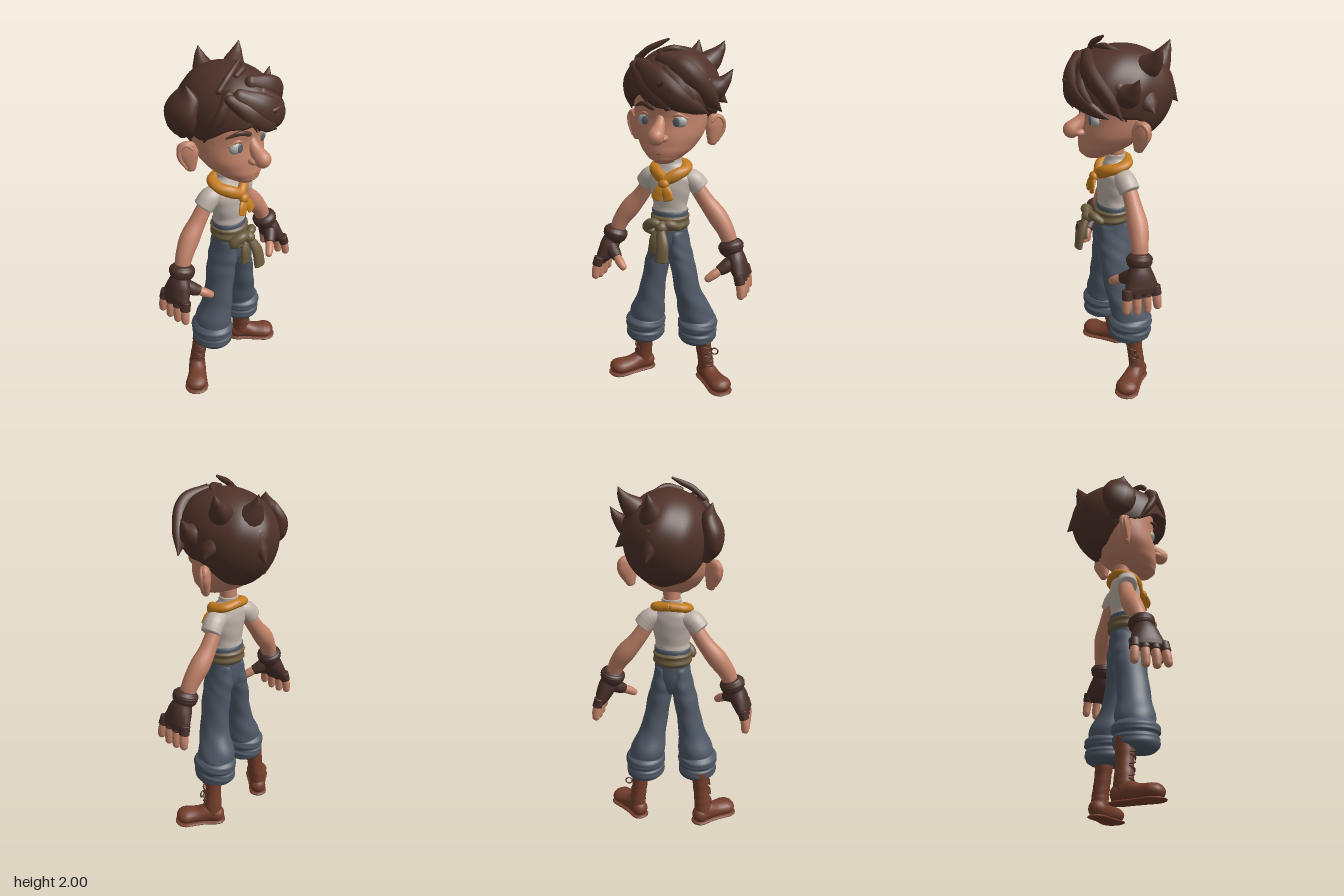
import * as THREE from 'three';
import { mergeVertices } from 'three/addons/utils/BufferGeometryUtils.js';

const colours = {
  skin: 0xc4846a, hair: 0x4f3229, shirt: 0xbfb3aa, scarf: 0xc47c1e, sash: 0x6e5d40,
  trousers: 0x4f5966, boot: 0x743e2b, glove: 0x482f29, eye: 0xa9aba8, iris: 0x596266,
};
const X = new THREE.Vector3(1, 0, 0), Y = new THREE.Vector3(0, 1, 0), Z = new THREE.Vector3(0, 0, 1);

// Smooth closed sweep through [x, y, z, a, b] sections: a is the radius along ref, b the other one
function sweep(pts, { ref = Z, tangent = null, cap = 1, steps = 7, sides = 20, ripple = 0 } = {}) {
  const path = new THREE.CatmullRomCurve3(pts.map(p => new THREE.Vector3(p[0], p[1], p[2])));
  const size = new THREE.CatmullRomCurve3(pts.map(p => new THREE.Vector3(p[3], p[4] ?? p[3], 0)), false, 'catmullrom', 0.4);
  const n = (pts.length - 1) * steps, rings = [];
  const addRing = (t, scale, push) => {
    const T = (tangent ?? path.getTangent(t)).clone();
    const s = size.getPoint(t), N = ref.clone().addScaledVector(T, -ref.dot(T)).normalize();
    const B = T.clone().cross(N), c = path.getPoint(t).addScaledVector(T, push * cap * s.x);
    rings.push({ c, N, B, a: s.x * scale, b: s.y * scale, t });
  };
  const arc = [0.05, 0.4, 0.75, 1.1].map(k => [Math.sin(k), Math.cos(k)]);
  for (const [r, h] of arc) addRing(0, r, -h);
  for (let i = 0; i <= n; i++) addRing(i / n, 1, 0);
  for (const [r, h] of arc.reverse()) addRing(1, r, h);
  const pos = [], idx = [];
  rings.forEach(({ c, N, B, a, b, t }, i) => {
    for (let j = 0; j < sides; j++) {
      const q = j / sides * Math.PI * 2;
      const f = 1 + ripple * Math.sin(t * 34 + 3 * Math.sin(q) + 2 * q);
      const p = c.clone().addScaledVector(N, Math.cos(q) * a * f).addScaledVector(B, Math.sin(q) * b * f);
      pos.push(p.x, p.y, p.z);
      if (i === rings.length - 1) continue;
      const k = (j + 1) % sides, A = i * sides, D = A + sides;
      idx.push(A + j, A + k, D + k, A + j, D + k, D + j);
    }
  });
  const last = (rings.length - 1) * sides;
  for (let j = 1; j < sides - 1; j++) idx.push(0, j + 1, j, last, last + j, last + j + 1);
  const g = new THREE.BufferGeometry();
  g.setAttribute('position', new THREE.Float32BufferAttribute(pos, 3));
  g.setIndex(idx);
  g.computeVertexNormals();
  return g;
}

// Hair cap: a sphere stretched over the skull down to a hairline that varies around the head
function hairCap() {
  const line = [152, 143, 110, 90, 78, 98, 110, 143, 152].map(d => d * Math.PI / 180);
  const g0 = new THREE.SphereGeometry(1, 64, 40);
  g0.deleteAttribute('uv'); g0.deleteAttribute('normal');
  const g = mergeVertices(g0, 1e-4), p = g.attributes.position;
  for (let i = 0; i < p.count; i++) {
    const phi = Math.atan2(p.getX(i), p.getZ(i)), t = Math.acos(THREE.MathUtils.clamp(p.getY(i), -1, 1)) / Math.PI;
    const f = (phi + Math.PI) / (Math.PI / 4), k = Math.min(7, Math.floor(f));
    const edge = THREE.MathUtils.lerp(line[k], line[k + 1], THREE.MathUtils.smoothstep(f - k, 0, 1));
    const th = Math.min(1, t / 0.85) * edge, inward = t > 0.85 ? (1 - t) / 0.15 : 1;
    const r = Math.sin(th) * inward * (1 + 0.015 * Math.sin(phi * 9 + th * 4) * Math.sin(th));
    const c = Math.cos(th);
    p.setXYZ(i, 0.022 + 0.232 * r * Math.sin(phi), 1.72 + (c > 0 ? 0.23 : 0.28) * c, 0.285 * r * Math.cos(phi));
  }
  g.computeVertexNormals();
  return g;
}

export function createModel() {
  const model = new THREE.Group();
  model.name = 'youngAdventurer';
  const mats = {};
  for (const [name, color] of Object.entries(colours)) {
    mats[name] = new THREE.MeshStandardMaterial({ color });
    mats[name].name = name;
  }
  const add = (name, mat, geo, parent = model) => {
    const m = new THREE.Mesh(geo, mats[mat]);
    m.name = name;
    parent.add(m);
    return m;
  };
  const ball = (name, mat, [x, y, z], [a, b, c], parent) => {
    const m = add(name, mat, new THREE.SphereGeometry(1, 24, 16), parent);
    m.position.set(x, y, z); m.scale.set(a, b, c);
    return m;
  };
  const upright = { ref: X, tangent: Y, cap: 0.3, sides: 32 };

  // Head and face
  add('head', 'skin', sweep([[0, 1.38, 0.125, 0.055, 0.065], [0, 1.4, 0.105, 0.092, 0.105], [0, 1.45, 0.062, 0.145, 0.152],
    [0, 1.52, 0.03, 0.183, 0.175], [0, 1.6, 0.01, 0.195, 0.18], [0, 1.7, 0, 0.197, 0.2], [0, 1.8, 0, 0.17, 0.18],
    [0, 1.86, 0, 0.1, 0.1]], upright));
  add('neck', 'skin', sweep([[0, 1.28, 0.01, 0.05], [0, 1.36, 0.01, 0.046], [0, 1.44, 0.02, 0.05]], upright));
  add('nose', 'skin', sweep([[0, 1.63, 0.162, 0.022, 0.022], [0, 1.575, 0.195, 0.03, 0.032], [0, 1.527, 0.252, 0.044, 0.045]], { ref: X }));
  add('mouth', 'boot', sweep([[-0.055, 1.442, 0.192, 0.003], [0, 1.429, 0.209, 0.005], [0.055, 1.442, 0.192, 0.003]]));
  for (const s of [-1, 1]) {
    ball('nostril', 'skin', [s * 0.031, 1.515, 0.215], [0.022, 0.019, 0.032]);
    ball('eye', 'eye', [s * 0.087, 1.593, 0.15], [0.044, 0.036, 0.031]);
    ball('iris', 'iris', [s * 0.083, 1.593, 0.177], [0.02, 0.023, 0.006]);
    add('eyelid', 'skin', sweep([[s * 0.04, 1.605, 0.174, 0.005], [s * 0.087, 1.631, 0.168, 0.01], [s * 0.133, 1.608, 0.138, 0.005]]));
    add('eyebrow', 'hair', sweep([[s * 0.035, 1.66, 0.195, 0.01, 0.012], [s * 0.09, 1.68, 0.183, 0.01, 0.013], [s * 0.145, 1.66, 0.143, 0.005]]));
    const ear = new THREE.Group();
    ear.name = 'ear';
    ear.position.set(s * 0.222, 1.52, -0.042);
    ear.rotation.set(0, s * 0.7, -s * 0.18);
    model.add(ear);
    add('earShell', 'skin', sweep([[0, -0.065, 0, 0.026, 0.02], [0, -0.03, 0, 0.04, 0.024], [0, 0.02, 0, 0.056, 0.027], [0, 0.06, 0, 0.048, 0.024]],
      { ref: X, cap: 0.6 }), ear);
    add('earRim', 'skin', sweep([[-s * 0.03, 0.045, 0.018, 0.007], [0, 0.075, 0.016, 0.01], [s * 0.036, 0.055, 0.016, 0.011],
      [s * 0.043, 0.01, 0.016, 0.011], [s * 0.022, -0.05, 0.014, 0.008]], { sides: 12 }), ear);
  }

  // Hair: cap, then tapered locks as [x, y, z, thickness, width]
  add('hairCap', 'hair', hairCap());
  const locks = {
    fringe: [[[-0.1, 1.87, 0.18, 0.03, 0.04], [0, 1.8, 0.25, 0.035, 0.07], [0.1, 1.73, 0.25, 0.035, 0.065], [0.19, 1.67, 0.18, 0.025, 0.035], [0.235, 1.64, 0.13, 0.004]],
      [[0, 1.9, 0.16, 0.03, 0.04], [0.12, 1.84, 0.19, 0.04, 0.07], [0.22, 1.73, 0.13, 0.035, 0.06], [0.29, 1.645, 0.08, 0.004]],
      [[0.03, 1.85, 0.2, 0.025, 0.04], [0.11, 1.76, 0.235, 0.03, 0.055], [0.17, 1.69, 0.2, 0.02, 0.035], [0.19, 1.64, 0.17, 0.004]],
      [[-0.14, 1.86, 0.16, 0.03], [-0.06, 1.785, 0.235, 0.03, 0.05], [0.02, 1.72, 0.265, 0.024, 0.045], [0.08, 1.67, 0.265, 0.004]],
      [[-0.13, 1.87, 0.14, 0.03], [-0.175, 1.79, 0.14, 0.025, 0.035], [-0.2, 1.71, 0.1, 0.02, 0.028], [-0.207, 1.63, 0.05, 0.004]],
      [[-0.11, 1.83, 0.2, 0.013], [-0.075, 1.745, 0.25, 0.01], [-0.04, 1.69, 0.245, 0.003]],
      [[0, 1.81, 0.24, 0.025], [0.03, 1.79, 0.28, 0.016], [0.06, 1.81, 0.305, 0.003]]],
    sideHair: [[[-0.215, 1.89, -0.05, 0.005], [-0.205, 1.83, -0.06, 0.075, 0.04], [-0.23, 1.75, -0.08, 0.1, 0.052], [-0.225, 1.68, -0.09, 0.085, 0.048], [-0.2, 1.63, -0.1, 0.03]],
      [[0.15, 1.73, 0.03, 0.07], [0.24, 1.75, 0.03, 0.062], [0.29, 1.79, 0.02, 0.032], [0.325, 1.845, 0.01, 0.003]],
      [[0.2, 1.78, 0.07, 0.04], [0.215, 1.7, 0.06, 0.035, 0.02], [0.205, 1.61, 0.03, 0.004]],
      [[0.19, 1.75, -0.06, 0.07, 0.05], [0.24, 1.69, -0.08, 0.045, 0.028], [0.275, 1.66, -0.09, 0.003]]],
    crownSpike: [[[0.12, 1.82, -0.07, 0.09, 0.08], [0.185, 1.88, -0.11, 0.055, 0.055], [0.225, 1.93, -0.125, 0.026], [0.243, 1.97, -0.13, 0.003]],
      [[0.06, 1.78, -0.15, 0.1], [0.06, 1.86, -0.205, 0.06], [0.065, 1.92, -0.237, 0.026], [0.07, 1.96, -0.25, 0.003]],
      [[-0.15, 1.89, 0.1, 0.016], [-0.09, 1.94, 0.1, 0.016], [-0.04, 1.965, 0.09, 0.014], [0.01, 1.99, 0.08, 0.006]],
      [[-0.03, 1.93, 0.1, 0.015], [0.04, 1.945, 0.08, 0.018], [0.09, 1.93, 0.03, 0.01]]],
    backHair: [[[0.05, 1.76, -0.22, 0.06], [0.06, 1.69, -0.265, 0.035], [0.07, 1.64, -0.305, 0.003]]],
  };
  for (const [name, list] of Object.entries(locks)) for (const l of list) add(name, 'hair', sweep(l, { sides: 14 }));

  // Shirt, neckerchief
  add('shirt', 'shirt', sweep([[0, 1.075, 0.03, 0.098, 0.083], [0, 1.12, 0.03, 0.095, 0.08], [0, 1.2, 0.027, 0.113, 0.085],
    [0, 1.265, 0.022, 0.12, 0.08], [0, 1.31, 0.015, 0.09, 0.064], [0, 1.345, 0.012, 0.058, 0.052], [0, 1.37, 0.01, 0.054, 0.05]], { ...upright, ripple: 0.01, cap: 0.02 }));
  for (const s of [-1, 1]) {
    add('sleeve', 'shirt', sweep([[s * 0.07, 1.265, 0.01, 0.05], [s * 0.12, 1.25, 0, 0.056], [s * 0.158, 1.208, -0.01, 0.055]], { cap: 0.15, ripple: 0.015 }));
    add('neckerchief', 'scarf', sweep([[0, 1.338, -0.05, 0.024, 0.025], [s * 0.07, 1.328, -0.025, 0.024, 0.032], [s * 0.083, 1.31, 0.03, 0.028, 0.034],
      [s * 0.05, 1.29, 0.083, 0.034, 0.03], [0, 1.265, 0.11, 0.03, 0.026]], { ref: Y, cap: 0.5 }));
    add('neckerchiefTail', 'scarf', sweep([[0, 1.25, 0.135, 0.016, 0.014], [s * 0.02, 1.215, 0.15, 0.028, 0.012], [s * 0.036, 1.175, 0.16, 0.028, 0.007]], { ref: X, cap: 0.3 }));
  }
  ball('neckerchiefKnot', 'scarf', [0, 1.25, 0.138], [0.03, 0.027, 0.022]);

  // Waist sash with knot, loops and hanging ends
  add('sash', 'sash', sweep([[0, 0.985, 0.035, 0.096, 0.09], [0, 1.005, 0.035, 0.11, 0.105], [0, 1.03, 0.033, 0.104, 0.098],
    [0, 1.05, 0.03, 0.108, 0.1], [0, 1.062, 0.03, 0.095, 0.085]], { ...upright, cap: 0.05 }));
  ball('sashKnot', 'sash', [0, 1.02, 0.17], [0.034, 0.034, 0.04]);
  add('sashLoop', 'sash', sweep([[0, 1.03, 0.17, 0.018], [-0.05, 1.04, 0.17, 0.028], [-0.09, 1.005, 0.145, 0.028], [-0.055, 0.985, 0.155, 0.02]]));
  add('sashLoop', 'sash', sweep([[0, 1.025, 0.165, 0.018], [0.045, 1.035, 0.155, 0.024], [0.08, 1.015, 0.125, 0.02]]));
  add('sashEnd', 'sash', sweep([[0, 1.01, 0.185, 0.024, 0.02], [0.02, 0.94, 0.22, 0.034, 0.022], [0.022, 0.85, 0.24, 0.038, 0.02]], { ref: X, cap: 0.2 }));
  add('sashEnd', 'sash', sweep([[-0.01, 1.01, 0.165, 0.024, 0.018], [-0.035, 0.95, 0.185, 0.03, 0.018], [-0.035, 0.875, 0.185, 0.032, 0.016]], { ref: X, cap: 0.2 }));

  // Trousers
  add('trouserWaist', 'trousers', sweep([[0, 0.81, 0.035, 0.06, 0.055], [0, 0.86, 0.035, 0.098, 0.08], [0, 0.92, 0.035, 0.103, 0.09],
    [0, 1, 0.033, 0.097, 0.087], [0, 1.085, 0.03, 0.101, 0.087]], { ...upright, cap: 0.1 }));
  for (const s of [-1, 1]) {
    const dz = s < 0 ? 0.035 : -0.022;
    add('trouserLeg', 'trousers', sweep([[s * 0.15, 0.36, dz, 0.098, 0.105], [s * 0.138, 0.45, dz, 0.1, 0.108], [s * 0.105, 0.6, 0.03 + dz / 3, 0.072, 0.09],
      [s * 0.073, 0.78, 0.035, 0.067, 0.09], [s * 0.056, 0.87, 0.035, 0.06, 0.093], [s * 0.05, 0.97, 0.035, 0.045, 0.08]], { ...upright, ripple: 0.025 }));
    add('trouserCuff', 'trousers', sweep([[0.28, 0.085, 0.095], [0.3, 0.106, 0.118], [0.335, 0.11, 0.124], [0.357, 0.104, 0.116],
      [0.38, 0.114, 0.128], [0.41, 0.109, 0.122], [0.43, 0.09, 0.1]].map(([y, a, b]) => [s * 0.15, y, dz, a, b]), { ...upright, cap: 0.02, ripple: 0.015 }));

    // Boots, turned outward
    const boot = new THREE.Group();
    boot.name = 'boot';
    boot.position.set(s * 0.2, 0, -0.05);
    boot.rotation.y = s * Math.PI / 4;
    model.add(boot);
    add('bootShaft', 'boot', sweep([[0, 0.07, 0, 0.046, 0.052], [-s * 0.006, 0.13, 0, 0.044, 0.05], [-s * 0.02, 0.22, -0.002, 0.045, 0.046],
      [-s * 0.033, 0.34, -0.005, 0.052, 0.052]], { ...upright, ripple: 0.015 }), boot);
    add('bootFoot', 'boot', sweep([[0, 0.055, -0.025, 0.048, 0.05], [0, 0.062, 0.03, 0.047, 0.058], [0, 0.052, 0.095, 0.055, 0.045],
      [s * 0.005, 0.05, 0.16, 0.065, 0.043]], { ref: X, tangent: Z, cap: 0.85 }), boot);
    add('bootSole', 'boot', sweep([[0, 0.013, -0.025, 0.052, 0.013], [0, 0.013, 0.05, 0.053, 0.013], [s * 0.005, 0.013, 0.16, 0.07, 0.013]],
      { ref: X, tangent: Z, cap: 0.9 }), boot);
    for (let i = 0; i < 6; i++) {
      const y = 0.115 + i * 0.03, x = -s * (y - 0.1) * 0.14, d = i % 2 ? 1 : -1;
      add('bootLace', 'hair', sweep([[x - 0.026, y - d * 0.009, 0.043, 0.004], [x, y, 0.054, 0.005], [x + 0.026, y + d * 0.009, 0.043, 0.004]], { ref: Y, sides: 8 }), boot);
    }
    if (s > 0) {
      const bow = add('laceBow', 'hair', new THREE.TorusGeometry(0.019, 0.004, 8, 20), boot);
      bow.position.set(0.02, 0.213, 0.06); bow.rotation.y = -0.6;
    }

    // Arms and fingerless gloves
    add('arm', 'skin', sweep([[s * 0.12, 1.235, -0.01, 0.04], [s * 0.19, 1.13, -0.02, 0.045], [s * 0.255, 1.05, -0.02, 0.054],
      [s * 0.31, 0.97, -0.01, 0.047], [s * 0.345, 0.88, 0, 0.038]]));
    add('gloveCuff', 'glove', sweep([[s * 0.333, 0.925, 0, 0.052], [s * 0.339, 0.905, 0.002, 0.069], [s * 0.347, 0.875, 0.004, 0.066], [s * 0.355, 0.85, 0.006, 0.05]], { cap: 0.1, ripple: 0.02 }));
    add('gloveHand', 'glove', sweep([[s * 0.355, 0.87, 0.005, 0.048, 0.052], [s * 0.377, 0.82, 0.01, 0.052, 0.074], [s * 0.403, 0.76, 0.012, 0.043, 0.092],
      [s * 0.414, 0.735, 0.014, 0.034, 0.092]], { ref: X, cap: 0.4 }));
    for (let i = 0; i < 4; i++) {
      const z = -0.06 + i * 0.051, tip = [0.652, 0.64, 0.64, 0.655][i];
      add('gloveFinger', 'glove', sweep([[s * 0.409, 0.765, z, 0.028], [s * 0.422, 0.718, z * 1.06, 0.028]], { cap: 0.15 }));
      add('finger', 'skin', sweep([[s * 0.412, 0.75, z, 0.022], [s * 0.427, 0.69, z * 1.1, 0.024], [s * 0.43, tip, z * 1.15, 0.022]]));
    }
    add('gloveThumb', 'glove', sweep([[s * 0.36, 0.825, 0.035, 0.036], [s * 0.33, 0.795, 0.06, 0.037], [s * 0.3, 0.775, 0.085, 0.029]], { cap: 0.2 }));
    add('thumb', 'skin', sweep([[s * 0.315, 0.785, 0.07, 0.023], [s * 0.275, 0.757, 0.105, 0.025], [s * 0.25, 0.738, 0.122, 0.021]]));
  }
  return model;
}
